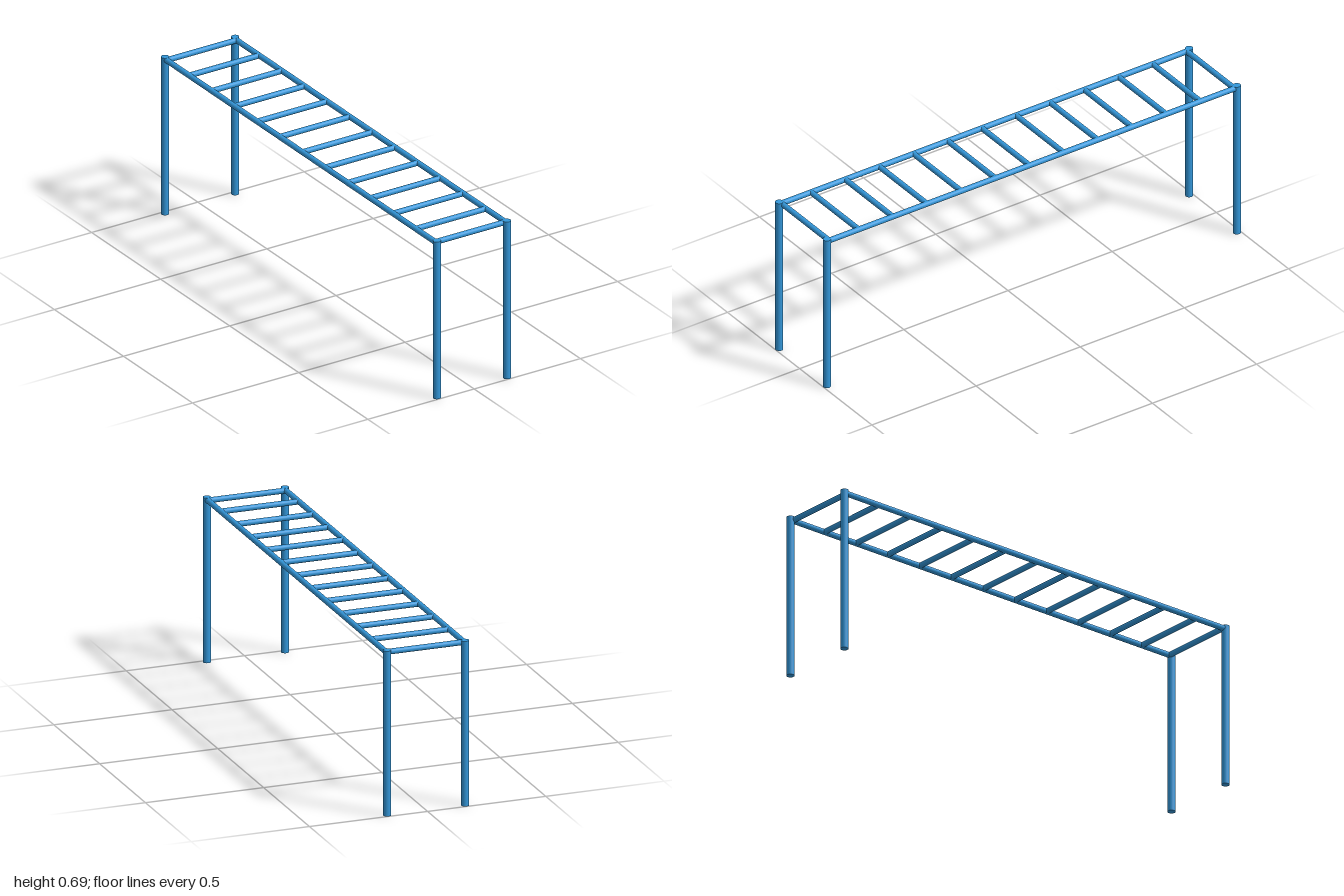
import * as THREE from 'three';

export function createModel() {
  const model = new THREE.Group();
  model.name = 'monkeyBars';
  const paint = new THREE.MeshStandardMaterial({ color: 0x3498db });

  const HEIGHT = 0.69, POST_R = 0.016, BAR_R = 0.0115;
  const POST_X = 0.165, POST_Z = 0.984, BAR_Y = HEIGHT - BAR_R;

  // Capped round tube lying along the chosen axis
  function tube(name, radius, length, axis, x, y, z) {
    const geometry = new THREE.CylinderGeometry(radius, radius, length, 32);
    if (axis === 'x') geometry.rotateZ(Math.PI / 2);
    if (axis === 'z') geometry.rotateX(Math.PI / 2);
    const mesh = new THREE.Mesh(geometry, paint);
    mesh.name = name;
    mesh.position.set(x, y, z);
    model.add(mesh);
  }

  // Four posts and two side rails
  for (const [side, sx] of [['left', 1], ['right', -1]]) {
    for (const [end, sz] of [['Front', 1], ['Back', -1]]) {
      tube(`${side}${end}Post`, POST_R, HEIGHT, 'y', sx * POST_X, HEIGHT / 2, sz * POST_Z);
    }
    tube(`${side}Rail`, BAR_R, 2 * POST_Z, 'z', sx * POST_X, BAR_Y, 0);
  }

  // Evenly spaced rungs from the back, with the last one kept between the front posts
  const FIRST_Z = -0.973, STEP = 0.164;
  for (let i = 0; i < 13; i++) {
    const z = Math.min(FIRST_Z + i * STEP, -FIRST_Z);
    tube(`rung${i + 1}`, BAR_R, 2 * POST_X, 'x', 0, BAR_Y, z);
  }
  return model;
}
